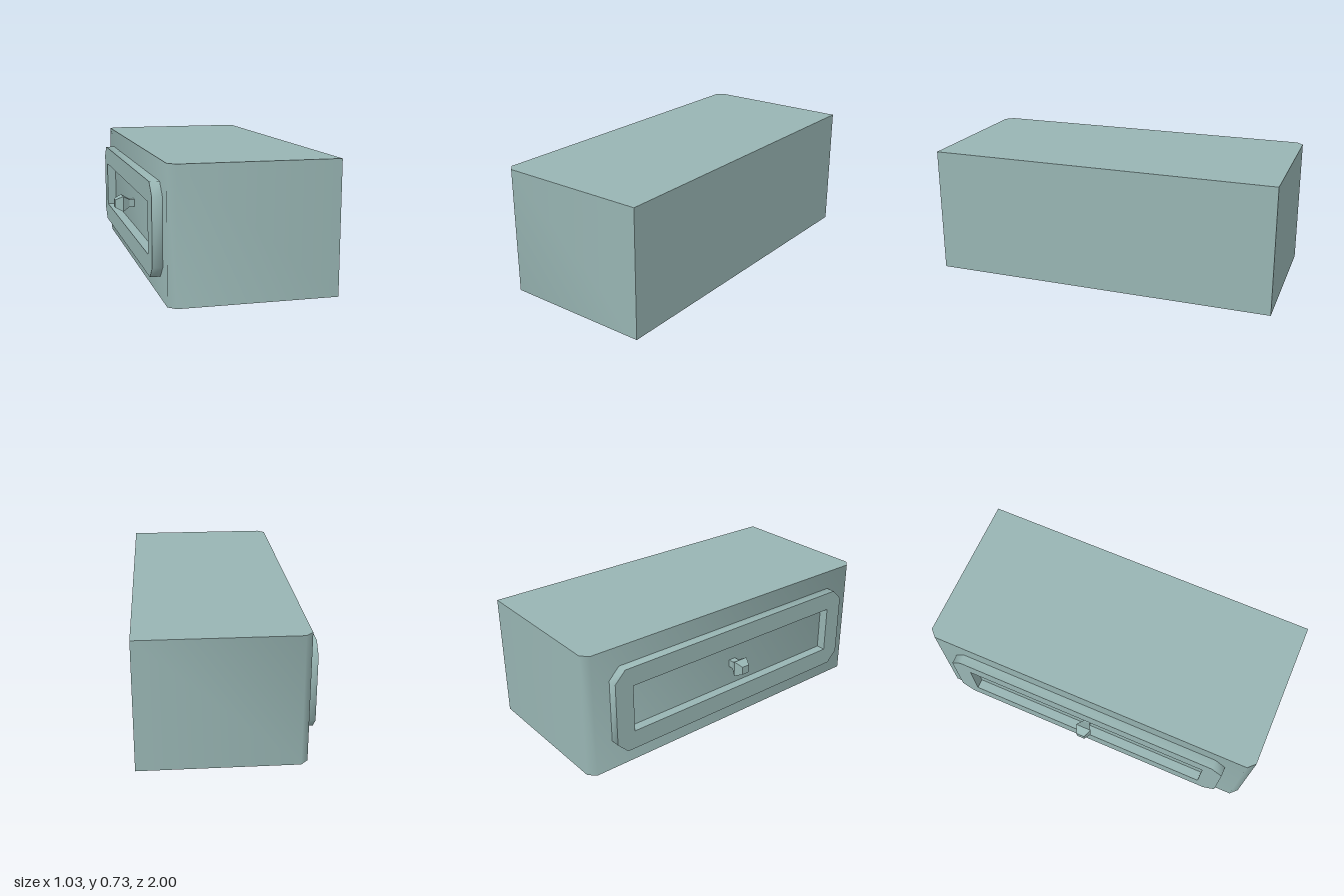
import * as THREE from 'three';
import { toCreasedNormals } from 'three/addons/utils/BufferGeometryUtils.js';

const FACE_X = -0.395; // plane of the drawer face
const MID_Y = 0.365;

// Rectangle outline with all four corners chamfered
function chamferedRect(halfW, halfH, c) {
  return [
    [-halfW + c, -halfH], [halfW - c, -halfH], [halfW, -halfH + c], [halfW, halfH - c],
    [halfW - c, halfH], [-halfW + c, halfH], [-halfW, halfH - c], [-halfW, -halfH + c],
  ].map(([x, y]) => new THREE.Vector2(x, y));
}

export function createModel() {
  const group = new THREE.Group();
  const paint = new THREE.MeshStandardMaterial({ color: 0x98b5b3 });
  paint.name = 'greyTealPaint';

  function add(name, geometry) {
    const mesh = new THREE.Mesh(geometry, paint);
    mesh.name = name;
    group.add(mesh);
    return mesh;
  }
  const soften = (geometry) => toCreasedNormals(geometry, Math.PI / 3);

  // Drawer body: plan outline with two chamfered corners, extruded upward
  const plan = new THREE.Shape([
    [0.513, -1], [0.513, 1], [FACE_X + 0.04, 1],
    [FACE_X, 0.96], [FACE_X, -0.96], [FACE_X + 0.04, -1],
  ].map(([x, y]) => new THREE.Vector2(x, y)));
  const body = new THREE.ExtrudeGeometry(plan, { depth: 0.73, bevelEnabled: false });
  body.rotateX(-Math.PI / 2);
  add('drawerBody', soften(body));

  // Raised frame around the recessed panel
  const outline = new THREE.Shape(chamferedRect(0.855, 0.251, 0.065));
  outline.holes.push(new THREE.Path([
    new THREE.Vector2(-0.742, -0.14), new THREE.Vector2(-0.742, 0.14),
    new THREE.Vector2(0.742, 0.14), new THREE.Vector2(0.742, -0.14),
  ]));
  const frame = new THREE.ExtrudeGeometry(outline, { depth: 0.055, bevelEnabled: false });
  frame.rotateY(-Math.PI / 2);
  add('frontFrame', soften(frame)).position.set(FACE_X, MID_Y, 0);

  // Square knob: narrow stem, flared middle and small flat tip
  const profile = [[0.022, 0], [0.022, 0.03], [0.046, 0.072], [0.024, 0.118], [0, 0.118]]
    .map(([half, y]) => new THREE.Vector2(half * Math.SQRT2, y));
  const knob = new THREE.LatheGeometry(profile, 4, Math.PI / 4).toNonIndexed();
  knob.computeVertexNormals();
  knob.rotateZ(Math.PI / 2);
  add('knob', knob).position.set(FACE_X, MID_Y, 0);

  return group;
}
